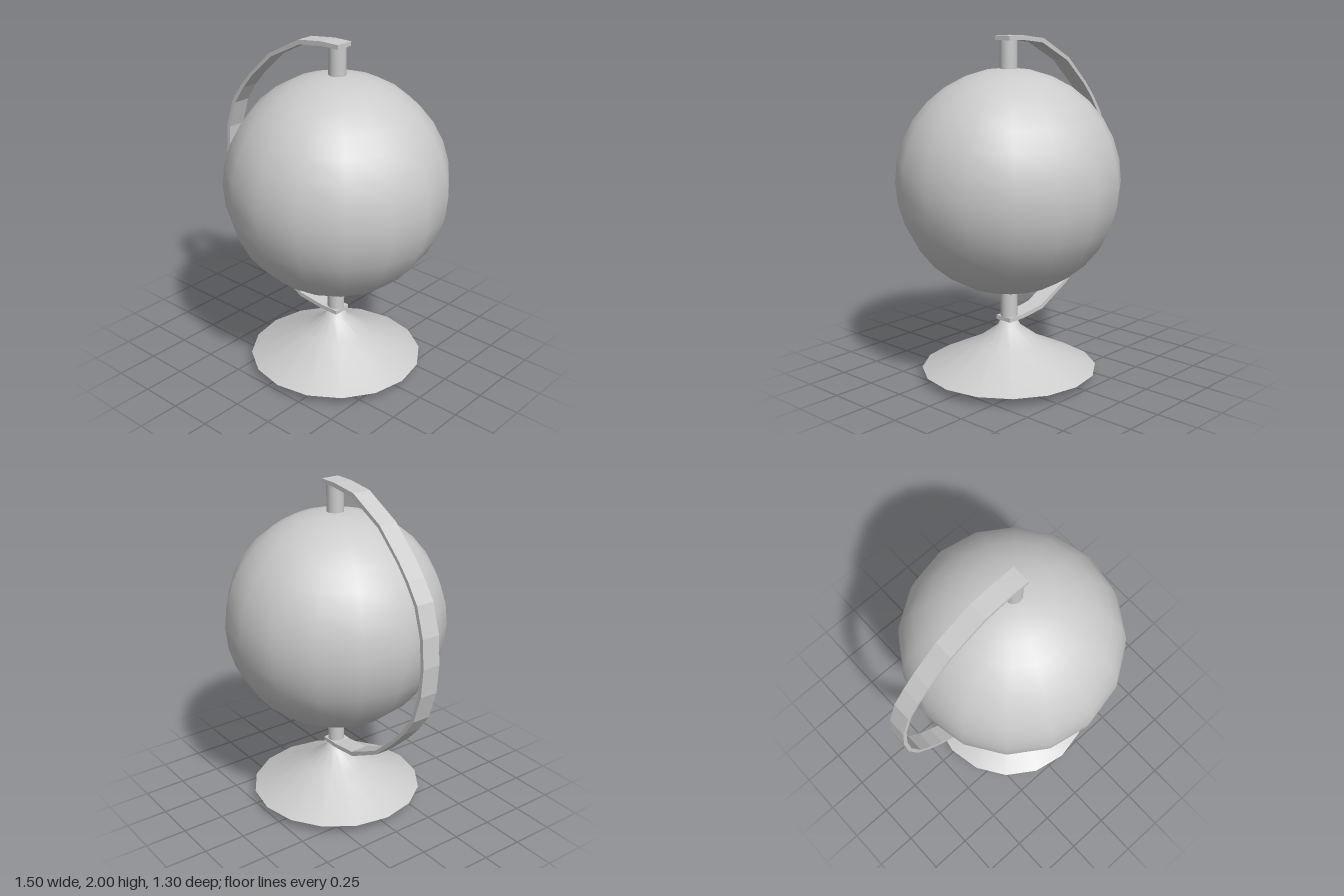
import * as THREE from 'three';

const AXIS_X = 0.1; // the globe's axis sits right of centre, the arm reaches left
const MID_Y = 1.172;
const SIDES = 16;

export function createModel() {
  const model = new THREE.Group();
  model.name = 'deskGlobe';
  const grey = new THREE.MeshStandardMaterial({ color: 0xcccccc });

  const add = (name, geometry, x = 0, y = 0) => {
    const mesh = new THREE.Mesh(geometry, grey);
    mesh.name = name;
    mesh.position.set(x, y, 0);
    model.add(mesh);
  };
  const lathe = (pts) =>
    new THREE.LatheGeometry(pts.map(([r, y]) => new THREE.Vector2(r, y)), SIDES);

  // Ball
  add('ball', new THREE.SphereGeometry(0.65, SIDES, 16), AXIS_X, MID_Y);

  // Axle pins above and below the ball
  add('upperPin', new THREE.CylinderGeometry(0.05, 0.05, 0.2, SIDES), AXIS_X, 1.885);
  add('lowerPin', new THREE.CylinderGeometry(0.05, 0.05, 0.2, SIDES), AXIS_X, 0.46);

  // Flared stand with a shallow conical underside
  add('stand', lathe([[0.517, 0.055], [0.2, 0.21], [0.07, 0.305], [0.045, 0.355], [0, 0.36]]), AXIS_X);
  add('standUnderside', lathe([[0, 0], [0.517, 0.055]]), AXIS_X);

  // Curved arm: upper half of the band's edges, mirrored to the lower half
  const closeBand = (half) => [
    ...half,
    ...half.slice(0, -1).reverse().map(([x, y]) => [x, 2 * MID_Y - y]),
  ];
  const outer = closeBand([[0.15, 2.0], [0.03, 2.0], [-0.14, 1.98], [-0.37, 1.86], [-0.53, 1.71],
    [-0.61, 1.62], [-0.687, 1.51], [-0.74, 1.34], [-0.753, MID_Y]]);
  const inner = closeBand([[0.15, 1.975], [0.04, 1.975], [-0.13, 1.955], [-0.355, 1.843], [-0.515, 1.697],
    [-0.59, 1.61], [-0.665, 1.5], [-0.717, 1.335], [-0.73, MID_Y]]);
  const profile = new THREE.Shape(
    [...outer, ...inner.reverse()].map(([x, y]) => new THREE.Vector2(x, y)));
  const arm = new THREE.ExtrudeGeometry(profile, { depth: 0.11, bevelEnabled: false });
  arm.translate(0, 0, -0.055);
  add('arm', arm);

  return model;
}
